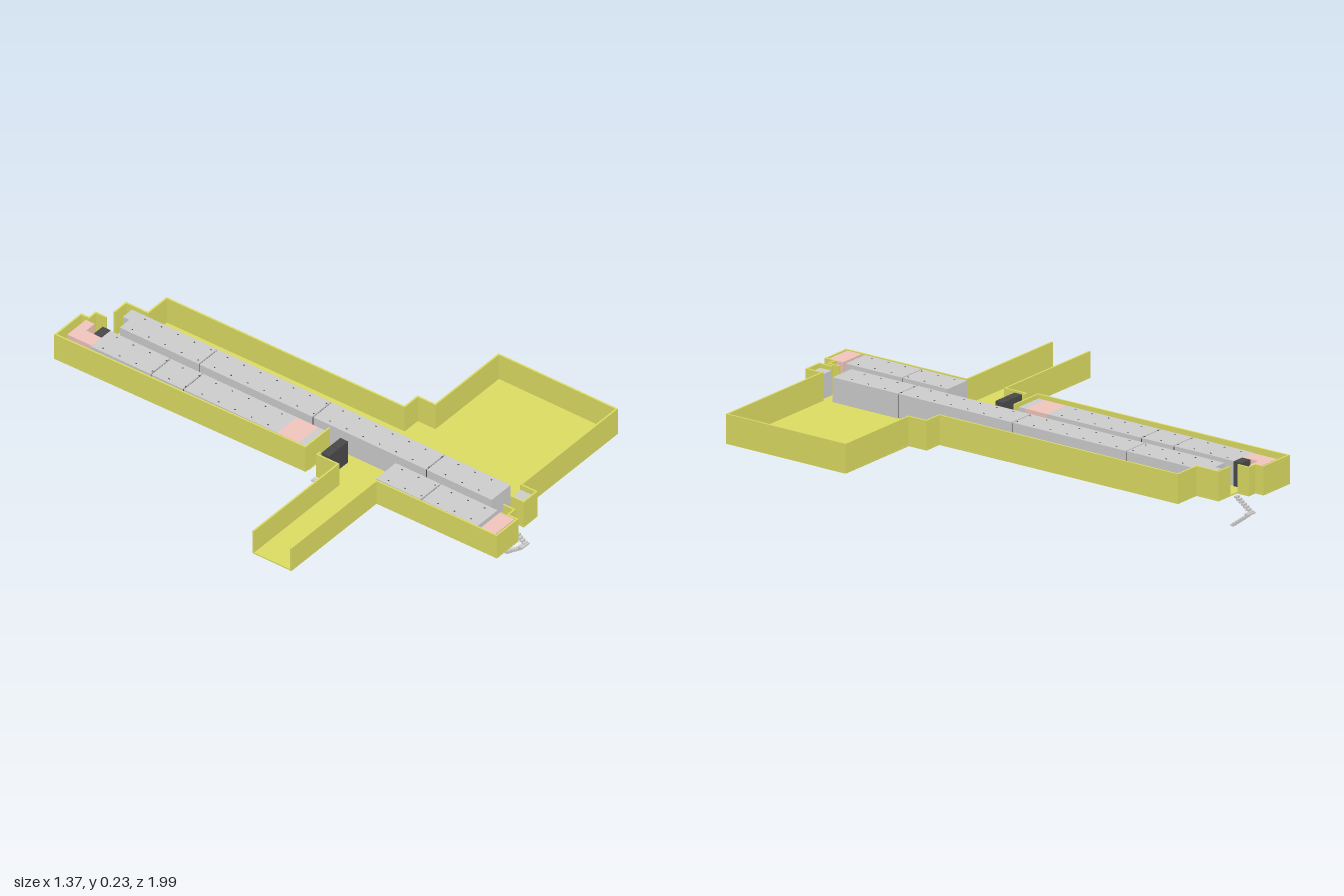
import * as THREE from 'three';

const mat = (color) => new THREE.MeshStandardMaterial({ color, flatShading: true });
const yellow = mat(0xdada62);
const grey = mat(0xcccccc);
const dark = mat(0x484848);
const pink = mat(0xf0c4bc);

const FLOOR = 0.111;
const DECK = 0.211;

export function createModel() {
  const model = new THREE.Group();

  const group = (name) => {
    const g = new THREE.Group();
    g.name = name;
    model.add(g);
    return g;
  };

  // Box given by its limits on each axis
  const box = (parent, name, material, x0, x1, y0, y1, z0, z1) => {
    const mesh = new THREE.Mesh(new THREE.BoxGeometry(x1 - x0, y1 - y0, z1 - z0), material);
    mesh.position.set((x0 + x1) / 2, (y0 + y1) / 2, (z0 + z1) / 2);
    mesh.name = name;
    parent.add(mesh);
    return mesh;
  };

  // Thin wall along a path of [x, z] corners
  const walls = (name, top, path) => {
    const g = group(name);
    const t = 0.007;
    for (let i = 1; i < path.length; i++) {
      const [ax, az] = path[i - 1];
      const [bx, bz] = path[i];
      const h = top - FLOOR;
      const wall = new THREE.Mesh(
        new THREE.BoxGeometry(Math.hypot(bx - ax, bz - az) + t, h, t), yellow);
      wall.position.set((ax + bx) / 2, FLOOR + h / 2, (az + bz) / 2);
      wall.rotation.y = -Math.atan2(bz - az, bx - ax);
      wall.name = name + 'Panel';
      g.add(wall);
    }
  };

  // Floor plate with notches for the three stairways
  const outline = [
    [-0.2, -1], [-0.04, -1], [-0.04, -0.96], [0, -0.96], [0, -0.91], [0.04, -0.91],
    [0.11, -0.91], [0.11, -0.81], [0.22, -0.81], [0.228, 0.265], [0.305, 0.265],
    [0.305, 0.345], [0.682, 0.345], [0.682, 0.888], [0.115, 0.888], [0.115, 0.957],
    [0.032, 0.957], [0.032, 0.9], [-0.005, 0.9], [-0.005, 0.95], [-0.045, 0.95],
    [-0.045, 0.993], [-0.173, 0.993], [-0.178, 0.449], [-0.684, 0.449], [-0.684, 0.272],
    [-0.183, 0.272], [-0.183, 0.178], [-0.07, 0.178], [-0.07, 0.13], [-0.183, 0.13]
  ];
  const shape = new THREE.Shape(outline.map(([x, z]) => new THREE.Vector2(x, -z)));
  const floorGeo = new THREE.ExtrudeGeometry(shape, { depth: 0.005, bevelEnabled: false });
  floorGeo.rotateX(-Math.PI / 2);
  const floor = new THREE.Mesh(floorGeo, yellow);
  floor.position.y = FLOOR;
  floor.name = 'floor';
  model.add(floor);

  // Outer walls, with gaps at the stairways and at the end of the side arm
  walls('backRightWall', 0.222, [
    [-0.04, 0.127], [-0.18, 0.127], [-0.196, -0.996], [-0.044, -0.996], [-0.044, -0.96],
    [-0.004, -0.96], [-0.004, -0.915]
  ]);
  walls('leftWall', 0.225, [
    [0.04, -0.906], [0.106, -0.906], [0.106, -0.807], [0.217, -0.807], [0.224, 0.269],
    [0.302, 0.269], [0.302, 0.349], [0.679, 0.349], [0.679, 0.885], [0.112, 0.885],
    [0.112, 0.954], [0.036, 0.954], [0.036, 0.9]
  ]);
  walls('frontRightWall', 0.213, [
    [-0.009, 0.9], [-0.009, 0.947], [-0.048, 0.947], [-0.048, 0.989], [-0.17, 0.989],
    [-0.175, 0.446], [-0.68, 0.446]
  ]);
  walls('armBackWall', 0.213, [[-0.68, 0.276], [-0.18, 0.276], [-0.18, 0.182], [-0.165, 0.182]]);

  // Raised decks, cut into lengths by narrow joints
  const deck = (name, x0, x1, cuts) => {
    const g = group(name);
    for (let i = 1; i < cuts.length; i++) {
      box(g, name + 'Section', grey, x0, x1, FLOOR, DECK,
        cuts[i - 1] + (i > 1 ? 0.003 : 0), cuts[i] - (i < cuts.length - 1 ? 0.003 : 0));
    }
    // Core closes the joints; a row of studs follows each edge
    box(g, name + 'Core', dark, x0 + 0.004, x1 - 0.004, FLOOR, DECK - 0.006,
      cuts[0] + 0.004, cuts[cuts.length - 1] - 0.004);
    for (let z = cuts[0] + 0.04; z < cuts[cuts.length - 1] - 0.02; z += 0.075) {
      for (const x of [x0 + 0.018, x1 - 0.018]) {
        box(g, 'deckStud', dark, x - 0.002, x + 0.002, DECK - 0.001, DECK + 0.001, z, z + 0.006);
      }
    }
  };
  deck('rightDeck', -0.165, -0.048, [-0.86, -0.587, -0.44, -0.012]);
  deck('frontRightDeck', -0.165, -0.048, [0.437, 0.642, 0.9]);
  deck('leftDeck', -0.012, 0.1, [-0.845, -0.485, 0.032, 0.548, 0.846]);

  // End pieces of the decks
  const ends = group('deckEnds');
  box(ends, 'middleEnd', grey, -0.165, -0.048, FLOOR, DECK, 0.085, 0.115);
  box(ends, 'backEnd', grey, 0.045, 0.1, FLOOR, DECK, -0.875, -0.845);
  box(ends, 'frontEnd', grey, 0.045, 0.1, FLOOR, DECK, 0.893, 0.945);

  // Pink service areas
  const pinks = group('pinkAreas');
  box(pinks, 'middlePink', pink, -0.165, -0.048, FLOOR, DECK, -0.012, 0.085);
  box(pinks, 'frontPink', pink, -0.165, -0.052, FLOOR, DECK, 0.915, 0.98);
  box(pinks, 'backPink', pink, -0.16, -0.1, FLOOR, DECK, -0.97, -0.86);
  box(pinks, 'backPinkCorner', pink, -0.1, -0.05, FLOOR, DECK, -0.97, -0.93);

  // Dark cabinets
  const cabinets = group('cabinets');
  box(cabinets, 'backCabinet', dark, -0.097, -0.045, FLOOR, DECK, -0.897, -0.861);
  for (const x of [-0.163, -0.105]) {
    box(cabinets, 'middleCabinet', dark, x, x + 0.055, FLOOR, DECK, 0.187, 0.222);
  }

  // Frame panels under the decks
  const frame = group('underPanels');
  for (const [x0, x1] of [[-0.165, -0.048], [-0.012, 0.1]]) {
    for (let z = -0.86; z < 0.8; z += 0.1) {
      if (x0 < -0.1 && z > 0.05 && z < 0.2) continue;
      box(frame, 'underPanel', yellow, x0, x1, 0.108, FLOOR, z, z + 0.092);
    }
  }

  // Switchback stairs: local +z runs outward, the lower flight returns beside the upper
  const stairs = (name, x, z, turn, side) => {
    const g = group(name);
    const n = 7;
    for (let i = 0; i < n; i++) {
      const out = i * 0.0105;
      const back = (n - 1 - i) * 0.0105;
      const upper = 0.108 - i * 0.0075;
      const lower = 0.054 - i * 0.0078;
      box(g, 'upperStep', grey, -0.01, 0.01, upper - 0.0075, upper, out, out + 0.013);
      box(g, 'lowerStep', grey, side * 0.021 - 0.01, side * 0.021 + 0.01,
        lower - 0.0075, lower, back, back + 0.013);
    }
    // Landing joins the two flights
    box(g, 'landing', grey, Math.min(-0.01, side * 0.031), Math.max(0.01, side * 0.031),
      0.054, 0.06, 0.063, 0.083);
    g.position.set(x, 0, z);
    g.rotation.y = turn;
  };
  stairs('frontStairs', 0.016, 0.905, 0, -1);
  stairs('backStairs', 0.012, -0.913, Math.PI, -1);
  stairs('sideStairs', -0.072, 0.165, -Math.PI / 2, -1);

  return model;
}
